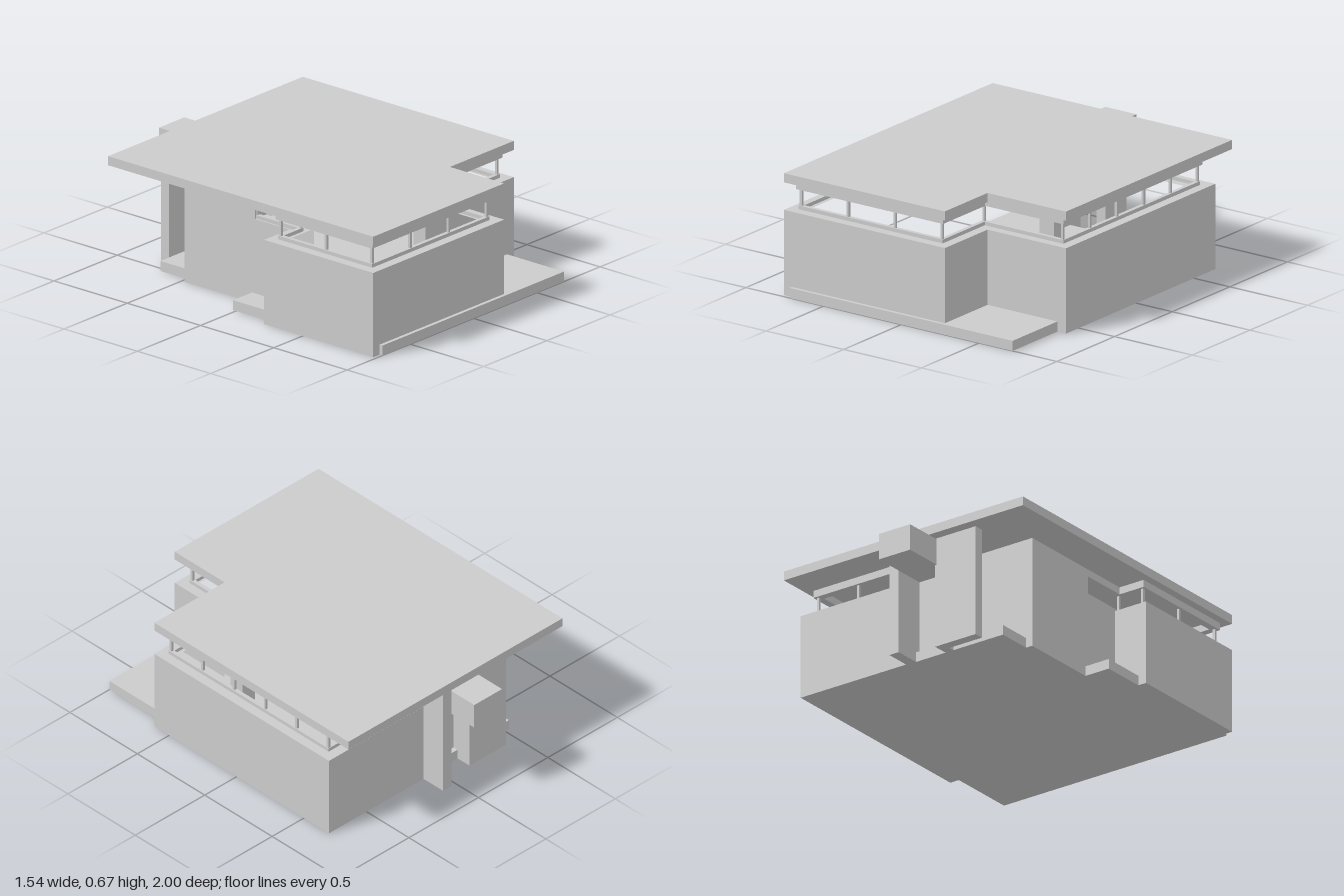
import * as THREE from 'three';

const WALL_TOP = 0.465, SILL_TOP = 0.485, HEAD_BOTTOM = 0.575, ROOF_BOTTOM = 0.615, ROOF_TOP = 0.665;

export function createModel() {
  const house = new THREE.Group();
  house.name = 'house';
  const material = new THREE.MeshStandardMaterial({ color: 0xcccccc, flatShading: true });

  const addMesh = (name, geometry, parent = house) => {
    const mesh = new THREE.Mesh(geometry, material);
    mesh.name = name;
    parent.add(mesh);
    return mesh;
  };

  // Box given by its limits on each axis
  const block = (name, [x0, x1], [y0, y1], [z0, z1], parent) => {
    const mesh = addMesh(name, new THREE.BoxGeometry(x1 - x0, y1 - y0, z1 - z0), parent);
    mesh.position.set((x0 + x1) / 2, (y0 + y1) / 2, (z0 + z1) / 2);
  };

  // Plan outline in (x, z), raised from y0 to y1
  const raisePlan = (name, outline, y0, y1, inner) => {
    const toPoints = (list) => list.map(([x, z]) => new THREE.Vector2(x, z));
    const shape = new THREE.Shape(toPoints(outline));
    if (inner) shape.holes.push(new THREE.Path(toPoints(inner)));
    const geometry = new THREE.ExtrudeGeometry(shape, { depth: y1 - y0, bevelEnabled: false });
    geometry.rotateX(Math.PI / 2).translate(0, y1, 0);
    addMesh(name, geometry);
  };

  // Floor slab with the front terrace, side step and back platform
  block('floorAndTerrace', [-0.72, 0.715], [0, 0.055], [-0.02, 1]);
  block('backFloor', [-0.53, 0.715], [0, 0.055], [-0.68, -0.02]);

  // Hollow outer walls
  raisePlan('outerWalls', [
    [-0.77, 0.98], [0.265, 0.98], [0.265, 0.61], [0.77, 0.61], [0.77, -0.685], [0.03, -0.685],
    [0.03, -0.65], [-0.21, -0.65], [-0.21, -0.48], [-0.57, -0.48], [-0.57, 0.235], [-0.77, 0.235],
  ], 0, WALL_TOP, [
    [-0.68, 0.89], [0.175, 0.89], [0.175, 0.52], [0.68, 0.52], [0.68, -0.56],
    [-0.12, -0.56], [-0.12, -0.39], [-0.48, -0.39], [-0.48, 0.325], [-0.68, 0.325],
  ]);

  // Flat roof with the front corner cut out
  raisePlan('roof', [
    [-0.77, 0.98], [0.265, 0.98], [0.265, 0.61], [0.77, 0.61], [0.77, -0.83], [-0.77, -0.83],
  ], ROOF_BOTTOM, ROOF_TOP);

  // Walls that rise above the window sills up to the roof
  const upper = [WALL_TOP, ROOF_BOTTOM], full = [0, ROOF_BOTTOM];
  block('upperSideWall', [-0.57, -0.48], upper, [-0.48, 0]);
  block('upperBackWall', [-0.57, -0.16], upper, [-0.48, -0.39]);
  block('upperEntryWall', [-0.21, 0.19], upper, [-0.65, -0.57]);

  // Back entry: fin wall, screen with its return, and projecting box
  block('entryFin', [0.03, 0.09], full, [-0.83, -0.65]);
  block('entryScreen', [-0.42, -0.16], full, [-0.77, -0.715]);
  block('entryScreenReturn', [-0.21, -0.16], full, [-0.715, -0.48]);
  block('entryBox', [-0.17, 0.03], [WALL_TOP, 0.61], [-1, -0.65]);

  // Inner pillar
  block('pillar', [0.4, 0.49], full, [0.245, 0.335]);

  // Window band: each run is [x0, z0, x1, z1, bays]
  const runs = [
    [-0.705, 0.915, 0.2, 0.915, 3],
    [0.2, 0.55, 0.2, 0.915, 1],
    [0.2, 0.55, 0.705, 0.55, 1],
    [0.705, -0.615, 0.705, 0.55, 5],
    [0.19, -0.615, 0.705, -0.615, 2],
    [-0.705, 0.295, -0.705, 0.915, 2],
    [-0.705, 0.295, -0.55, 0.295, 1],
    [-0.55, 0, -0.55, 0.295, 1],
  ];
  for (const [x0, z0, x1, z1, bays] of runs) {
    const band = new THREE.Group();
    band.name = 'windowBand';
    house.add(band);
    const rail = (name, y, half) =>
      block(name, [x0 - half, x1 + half], y, [z0 - half, z1 + half], band);
    rail('sill', [WALL_TOP, SILL_TOP], 0.011);
    rail('header', [HEAD_BOTTOM, ROOF_BOTTOM], 0.02);
    for (let i = 0; i <= bays; i++) {
      const x = x0 + (x1 - x0) * i / bays, z = z0 + (z1 - z0) * i / bays;
      block('mullion', [x - 0.007, x + 0.007], [SILL_TOP, HEAD_BOTTOM], [z - 0.007, z + 0.007], band);
    }
  }
  return house;
}
